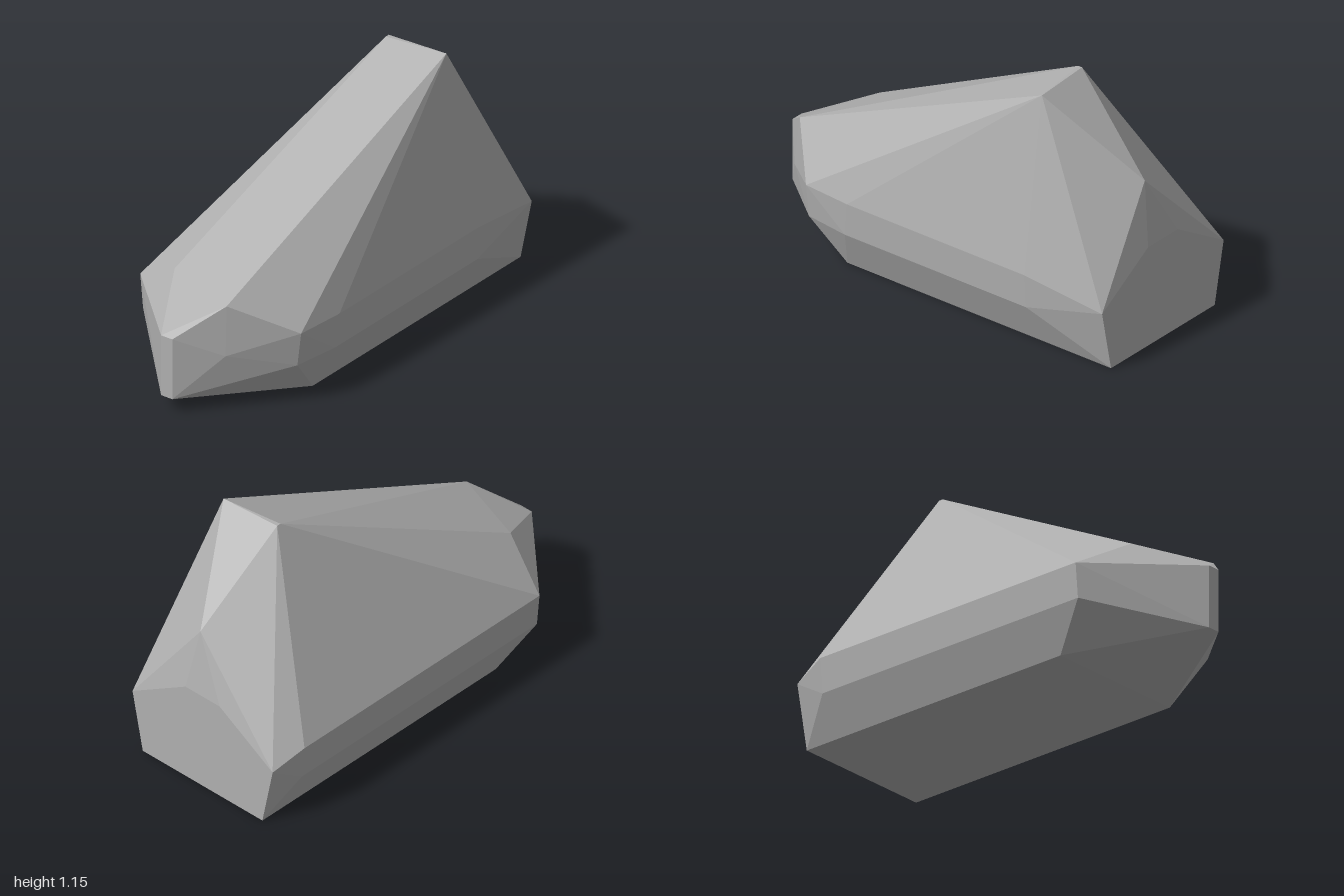
import * as THREE from 'three';
import { ConvexGeometry } from 'three/addons/geometries/ConvexGeometry.js';

const V = (p) => new THREE.Vector3(...p);
// a corner and its twin on the other side
const pair = (x, y, z) => [[x, y, z], [-x, y, z]];

export function createModel() {
  const stone = new THREE.MeshStandardMaterial({ color: 0xb0b0b0 });
  stone.name = 'stone grey';

  const corners = [
    // blunt nose
    ...pair(0.03, 0.36, 1), ...pair(0.03, 0.07, 1),
    // flat base
    ...pair(0.35, 0, 0.44), ...pair(0.35, 0, -1),
    // left flank
    [0.42, 0.35, 0.61], [0.4, 0.19, 0.61], [0.2, 0.27, 0.85],
    [0.44, 0.35, 0.37], [0.43, 0.19, 0.39],
    [0.44, 0.35, -0.6], [0.43, 0.19, -0.6],
    // right flank
    [-0.445, 0.35, 0.61], [-0.43, 0.19, 0.61],
    [-0.445, 0.35, -0.84], [-0.43, 0.19, -0.84],
    // brow above the nose
    [0.19, 0.5, 0.83], [-0.19, 0.5, 0.7],
    // peak
    [-0.01, 1.15, -0.55], [-0.01, 1.15, -0.53], [0.285, 1.15, -0.57],
    // back wall and its shoulder
    ...pair(0.41, 0.29, -1), ...pair(0.1, 0.48, -1), [0.06, 0.77, -0.95],
  ];

  // faceted boulder wrapped around the corners
  const boulder = new THREE.Mesh(new ConvexGeometry(corners.map(V)), stone);
  boulder.name = 'boulder';

  const model = new THREE.Group();
  model.name = 'rock';
  model.add(boulder);
  return model;
}
